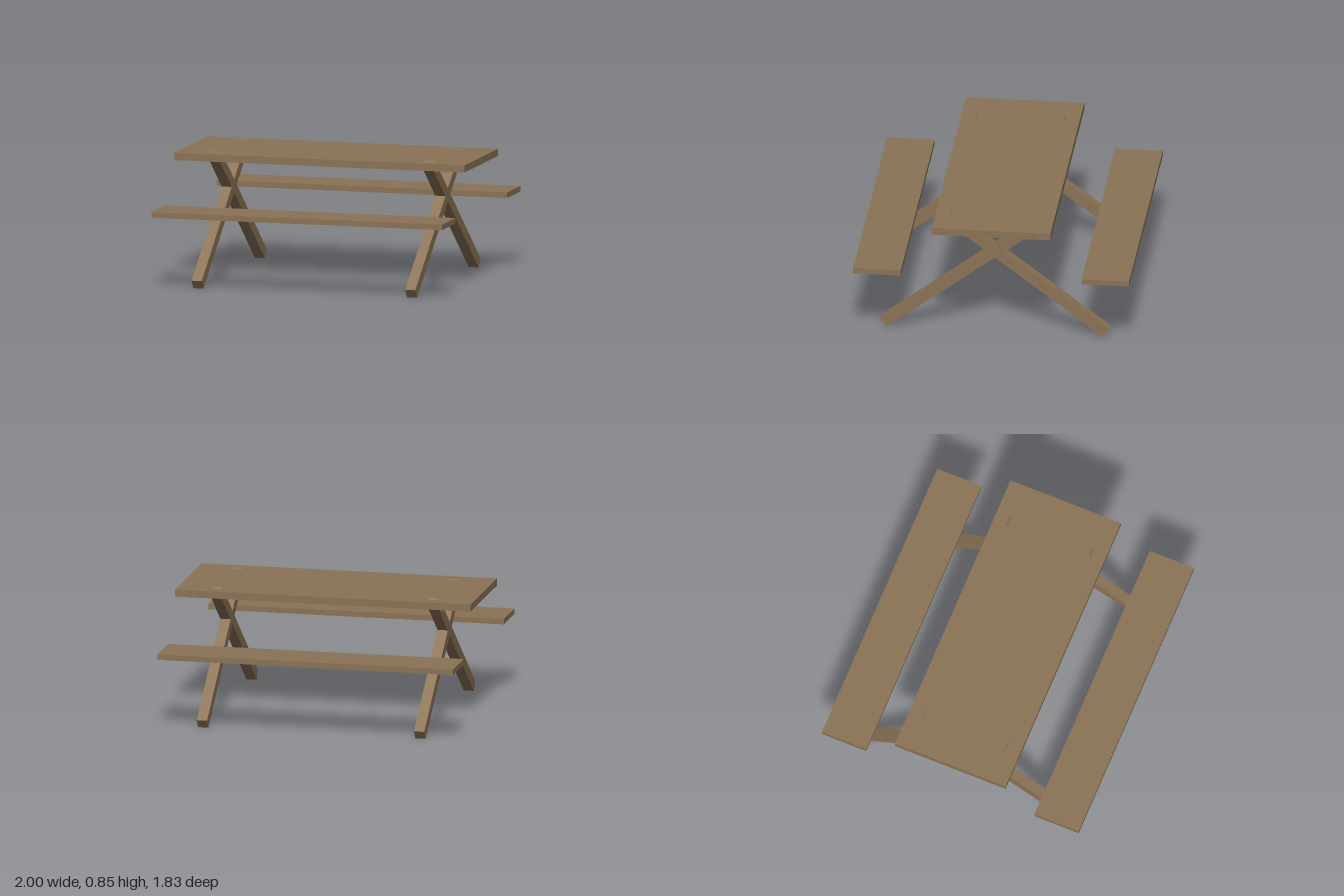
import * as THREE from 'three';

export function createModel() {
  const model = new THREE.Group();
  model.name = 'picnicTable';
  const wood = new THREE.MeshStandardMaterial({ color: 0x8b7355 });
  wood.name = 'wood';

  const addBoard = (name, width, height, depth, x, y, z) => {
    const mesh = new THREE.Mesh(new THREE.BoxGeometry(width, height, depth), wood);
    mesh.name = name;
    mesh.position.set(x, y, z);
    model.add(mesh);
    return mesh;
  };

  // Table top
  addBoard('tableTop', 2, 0.048, 0.788, 0, 0.823, 0);

  // Bench on each long side
  for (const side of [1, -1]) {
    addBoard(side > 0 ? 'frontBench' : 'backBench', 2, 0.037, 0.316, 0, 0.507, side * 0.758);
  }

  // Crossed legs at each end, their upper tips just breaking through the top
  const foot = { z: 0.738, y: 0.028 };
  const tip = { z: -0.316, y: 0.824 };
  const length = Math.hypot(foot.z - tip.z, tip.y - foot.y);
  const angle = Math.atan2(tip.y - foot.y, foot.z - tip.z);
  for (const end of [1, -1]) {
    for (const side of [1, -1]) {
      const name = (end > 0 ? 'left' : 'right') + (side > 0 ? 'Front' : 'Back') + 'Leg';
      const leg = addBoard(name, 0.07, 0.07, length,
        end * 0.735, (foot.y + tip.y) / 2, side * (foot.z + tip.z) / 2);
      leg.rotation.x = side * angle;
    }
  }
  return model;
}
